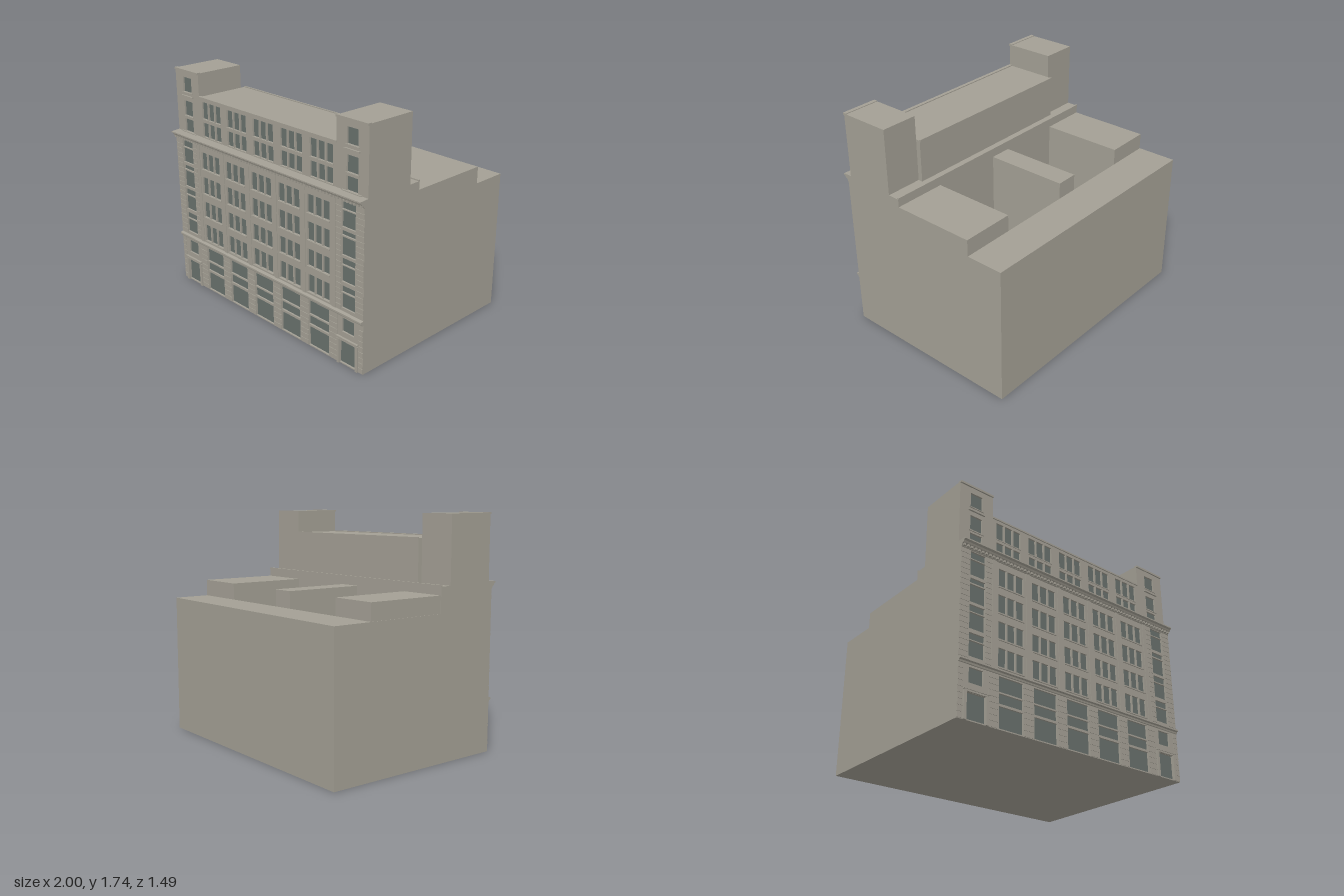
import * as THREE from 'three';

const stone = new THREE.MeshStandardMaterial({ color: 0xa39f94 });
stone.name = 'stone';
const glass = new THREE.MeshStandardMaterial({ color: 0x68706c });
glass.name = 'glass';

const LOWER_Z = 0.70, UPPER_Z = 0.67, REVEAL = 0.018;
const BAYS = [-0.58, -0.29, 0, 0.29, 0.58];
const TOWER_X = 0.86;

export function createModel() {
  const model = new THREE.Group();
  model.name = 'officeBuilding';

  const add = (name, geometry, material = stone) => {
    const mesh = new THREE.Mesh(geometry, material);
    mesh.name = name;
    model.add(mesh);
    return mesh;
  };
  // Box given by its limits on each axis
  const block = (name, x0, x1, y0, y1, z0, z1, material) => {
    const g = new THREE.BoxGeometry(x1 - x0, y1 - y0, z1 - z0);
    g.translate((x0 + x1) / 2, (y0 + y1) / 2, (z0 + z1) / 2);
    return add(name, g, material);
  };
  const outline = (points, Type = THREE.Shape) => new Type(points.map(p => new THREE.Vector2(...p)));
  const rect = (x0, x1, y0, y1) => [[x0, y0], [x0, y1], [x1, y1], [x1, y0]];
  const extrude = (shape, depth) => new THREE.ExtrudeGeometry(shape, { depth, bevelEnabled: false });

  // Main mass on a plan with a slanted back wall; shape y is -z
  const inner = LOWER_Z - REVEAL;
  const plan = () => outline([[-1, -inner], [1, -inner], [1, 0.72], [-1, 0.745]]);
  add('groundStorey', extrude(plan(), 0.4).rotateX(-Math.PI / 2));
  const upper = plan();
  for (const [x0, x1] of [[-0.64, -0.13], [0.04, 0.60]]) {
    upper.holes.push(outline(rect(x0, x1, -0.19, 0.44), THREE.Path));
  }
  add('upperStoreys', extrude(upper, 0.655).rotateX(-Math.PI / 2).translate(0, 0.4, 0));

  // Rear wings between the light courts
  for (const [x0, x1] of [[-0.996, -0.64], [-0.13, 0.04], [0.60, 1]]) {
    block('rearWing', x0, x1, 1.05, 1.18, -0.44, 0.2);
  }

  // Front range, set-back attic and corner towers
  const atticBack = UPPER_Z - REVEAL;
  block('frontRange', -1, 1, 1.05, 1.24, 0.19, inner);
  block('rearCoping', -1, 1, 1.237, 1.25, 0.186, 0.198);
  block('attic', -0.72, 0.72, 1.24, 1.555, 0.245, atticBack);
  block('atticRearCoping', -0.72, 0.72, 1.545, 1.562, 0.238, 0.25);
  block('atticFrontCoping', -0.72, 0.72, 1.55, 1.562, 0.65, 0.677);
  for (const s of [-1, 1]) {
    const a = s < 0 ? -1 : 0.72, b = s < 0 ? -0.72 : 1;
    block('tower', a, b, 1.24, 1.73, 0.28, atticBack);
    block('towerCap', a, b, 1.72, 1.735, 0.65, 0.68);
  }

  // Window openings: [x0, x1, y0, y1]
  const low = [], high = [];
  const opening = (list, cx, w, y0, y1) => list.push([cx - w / 2, cx + w / 2, y0, y1]);
  const floors = [[0.425, 0.56], [0.623, 0.75], [0.815, 0.95], [1.013, 1.147]];
  const atticFloors = [[1.26, 1.37], [1.398, 1.527]];
  for (const x of BAYS) {
    for (const dx of [-0.075, 0, 0.075]) {
      floors.forEach(([a, b]) => opening(low, x + dx, 0.064, a, b));
      atticFloors.forEach(([a, b]) => opening(high, x + dx, 0.064, a, b));
    }
    for (const [a, b] of [[0.008, 0.157], [0.174, 0.243], [0.254, 0.36]]) opening(low, x, 0.197, a, b);
  }
  for (const x of [-TOWER_X, TOWER_X]) {
    for (const [a, b] of [[0.43, 0.54], [0.547, 0.595], [0.623, 0.74], [0.747, 0.795],
      [0.815, 0.945], [0.955, 0.99], [1.013, 1.13], [1.137, 1.19]]) opening(low, x, 0.123, a, b);
    opening(low, x, 0.113, 0.25, 0.355);
    opening(low, x, 0.15, 0.008, 0.185);
    for (const [a, b] of [[1.256, 1.355], [1.38, 1.495], [1.564, 1.676]]) opening(high, x, 0.1, a, b);
  }

  // Facade walls pierced by the openings, with glass set in the reveals
  const facade = (name, points, openings, z) => {
    const shape = outline(points);
    for (const o of openings) {
      shape.holes.push(outline(rect(...o), THREE.Path));
      block('windowPane', ...o, z - REVEAL, z - REVEAL + 0.005, glass);
    }
    add(name, extrude(shape, REVEAL).translate(0, 0, z - REVEAL));
  };
  facade('lowerFacade', [[-1, 0], [1, 0], [1, 1.24], [-1, 1.24]], low, LOWER_Z);
  facade('upperFacade', [[-1, 1.24], [1, 1.24], [1, 1.73], [0.72, 1.73], [0.72, 1.555],
    [-0.72, 1.555], [-0.72, 1.73], [-1, 1.73]], high, UPPER_Z);

  // Mouldings swept across the front; profile is (z, y)
  const moulding = (name, profile) => {
    const g = extrude(outline(profile.map(([z, y]) => [-z, y])), 2);
    add(name, g.rotateY(Math.PI / 2).translate(-1, 0, 0));
  };
  moulding('mainCornice', [[0.65, 1.195], [0.705, 1.195], [0.712, 1.212], [0.725, 1.218],
    [0.73, 1.23], [0.743, 1.238], [0.743, 1.247], [0.65, 1.252]]);
  moulding('stringCourse', [[0.69, 0.37], [0.708, 0.37], [0.711, 0.382], [0.723, 0.388],
    [0.723, 0.4], [0.69, 0.408]]);
  for (let i = 0; i < 66; i++) {
    const x = -0.985 + i * 1.97 / 65;
    block('dentil', x - 0.008, x + 0.008, 1.2, 1.216, 0.70, 0.722);
  }

  // Sills and shallow piers between the bays
  for (const x of BAYS) {
    for (const [y] of floors) block('sill', x - 0.11, x + 0.11, y - 0.011, y - 0.001, 0.69, 0.707);
    for (const [y] of atticFloors) block('atticSill', x - 0.11, x + 0.11, y - 0.008, y - 0.001, 0.66, 0.674);
  }
  for (const x of [-0.725, -0.435, -0.145, 0.145, 0.435, 0.725]) {
    block('pier', x - 0.017, x + 0.017, 0.405, 1.197, 0.69, 0.704);
  }

  // Rusticated stone courses
  const courses = (x0, x1, y0, y1) => {
    const n = Math.round((y1 - y0) / 0.04), h = (y1 - y0) / n;
    for (let i = 0; i < n; i++) {
      block('stoneCourse', x0, x1, y0 + i * h + 0.004, y0 + (i + 1) * h - 0.002, 0.695, 0.7035);
    }
  };
  for (const x of [-0.435, -0.145, 0.145, 0.435]) courses(x - 0.042, x + 0.042, 0, 0.37);
  for (const s of [-1, 1]) {
    const span = (a, b, y0, y1) => courses(Math.min(s * a, s * b), Math.max(s * a, s * b), y0, y1);
    span(0.685, 0.76, 0, 0.37);
    span(0.96, 0.999, 0, 0.37);
    span(0.745, 0.793, 0.41, 1.195);
    span(0.927, 0.999, 0.41, 1.195);

    // Entrance surround and tower ledges
    const x = s * TOWER_X;
    for (const d of [-0.086, 0.086]) block('doorJamb', x + d - 0.011, x + d + 0.011, 0, 0.19, 0.69, 0.712);
    block('doorLintel', x - 0.09, x + 0.09, 0.186, 0.2, 0.69, 0.711);
    block('doorHood', x - 0.098, x + 0.098, 0.198, 0.21, 0.69, 0.716);
    block('towerLedge', x - 0.067, x + 0.067, 1.528, 1.538, 0.66, 0.682);
    block('towerLedge', x - 0.085, x + 0.085, 1.248, 1.256, 0.66, 0.682);
    block('towerSill', x - 0.06, x + 0.06, 1.37, 1.379, 0.66, 0.676);
    block('towerLintel', x - 0.06, x + 0.06, 1.556, 1.563, 0.66, 0.676);
  }
  return model;
}
